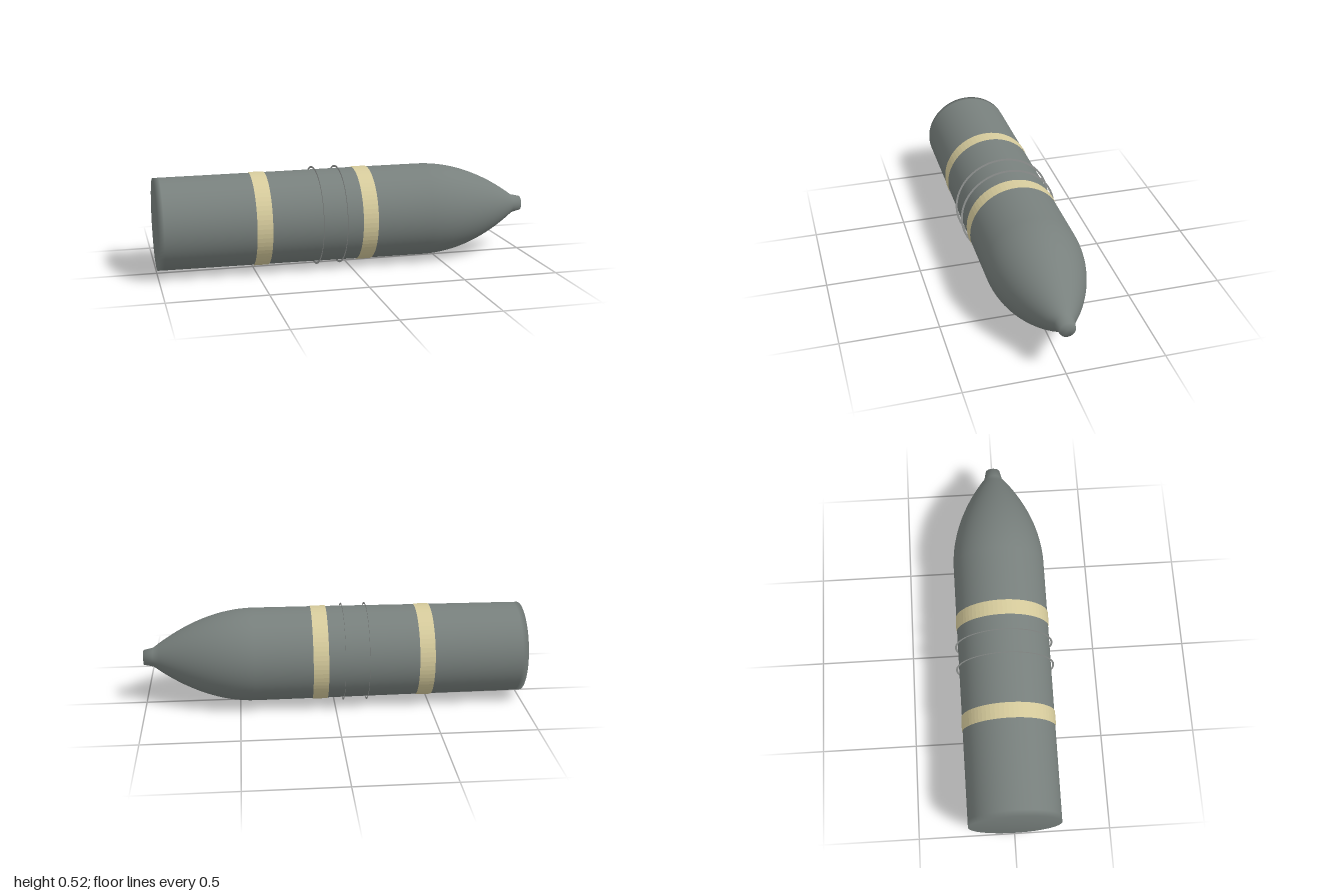
import * as THREE from 'three';

const bodyMat = new THREE.MeshStandardMaterial({ color: 0x78807d });
bodyMat.name = 'greyGreen';
const bandMat = new THREE.MeshStandardMaterial({ color: 0xd6cb9c, flatShading: true });
bandMat.name = 'paleYellow';
const ringMat = new THREE.MeshStandardMaterial({ color: 0x959896, side: THREE.DoubleSide });
ringMat.name = 'lightGrey';

const AXIS_Y = 0.26;
const SEGMENTS = 64;

// Lathe a profile of [x, radius] pairs about the long axis, running along +x
function turned(profile) {
  const points = profile.map(([x, r]) => new THREE.Vector2(r, x));
  return new THREE.LatheGeometry(points, SEGMENTS).rotateZ(-Math.PI / 2);
}

export function createModel() {
  const model = new THREE.Group();
  model.name = 'shell';

  function add(name, geometry, material, x = 0) {
    const mesh = new THREE.Mesh(geometry, material);
    mesh.name = name;
    mesh.position.set(x, AXIS_Y, 0);
    model.add(mesh);
  }

  // Body: flat base, slightly widening barrel, curved nose and blunt tip
  const profile = [[-1, 0], [-1, 0.237], [-0.97, 0.2375], [-0.35, 0.241], [0.1, 0.2445]];
  const noseStart = 0.42, noseEnd = 0.95;
  for (let i = 0; i <= 16; i++) {
    const t = i / 16;
    profile.push([noseStart + (noseEnd - noseStart) * t, 0.246 - 0.196 * t * t]);
  }
  profile.push([1, 0.039], [1, 0]);
  add('body', turned(profile), bodyMat);

  // Painted bands around the barrel
  for (const [name, x, radius] of [['rearBand', -0.47, 0.244], ['frontBand', 0.08, 0.248]]) {
    const band = new THREE.CylinderGeometry(radius, radius, 0.08, SEGMENTS, 1, true);
    add(name, band.rotateZ(-Math.PI / 2), bandMat, x);
  }

  // Paper-thin rings standing just off the barrel
  for (const [name, x] of [['rearRing', -0.17], ['frontRing', -0.045]]) {
    const ring = new THREE.RingGeometry(0.249, 0.26, SEGMENTS);
    add(name, ring.rotateY(Math.PI / 2), ringMat, x);
  }

  return model;
}
